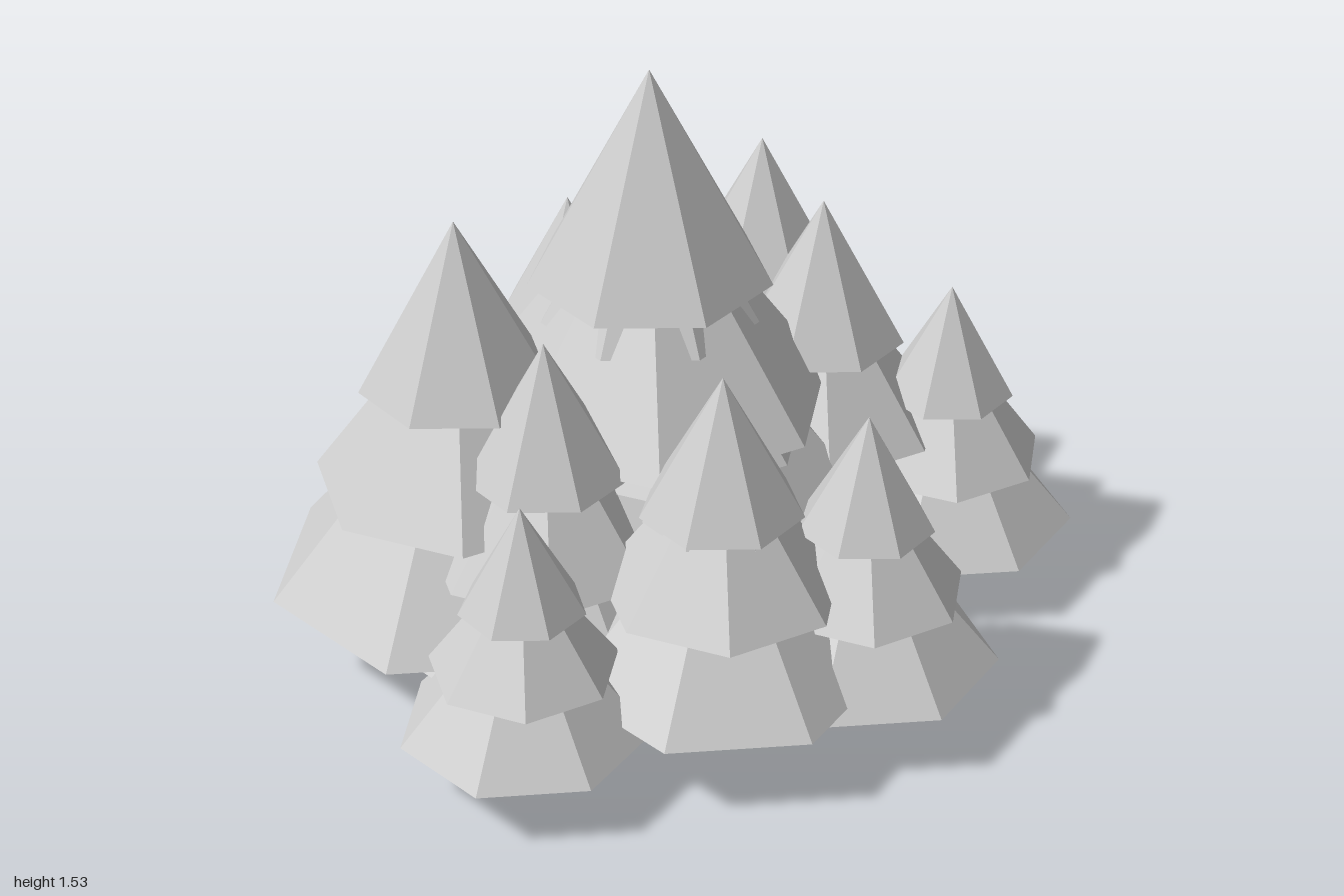
import * as THREE from 'three';

// Each tree: x, z, height. All trees share the same proportions.
const TREES = [
  [-0.015, -0.06, 1.535],
  [-0.015, -0.06, 1.37],
  [-0.475, -0.25, 1.23],
  [0.475, -0.155, 1.15],
  [0.442, 0.09, 1.075],
  [-0.447, 0.025, 1.0],
  [-0.258, 0.43, 1.0],
  [-0.235, 0.4, 0.94],
  [0.385, -0.283, 1.0],
  [0.203, -0.59, 0.92],
  [0.14, -0.52, 0.84],
  [0.047, 0.613, 0.843],
  [0.66, 0.336, 0.843],
  [-0.724, 0.24, 0.768],
  [-0.355, -0.34, 0.75],
];

// Tiers of a tree one unit tall: base height, radius and cone height
const TIERS = [
  [0.208, 0.4, 0.48],
  [0.426, 0.3, 0.415],
  [0.646, 0.2, 0.354],
];

export function createModel() {
  const grey = new THREE.MeshStandardMaterial({ color: 0xcccccc, flatShading: true });
  grey.name = 'pale grey';

  // Seven-sided cones, each tier turned a little further than the one below
  const tierGeometries = TIERS.map(([base, radius, h], i) =>
    new THREE.ConeGeometry(radius, h, 7)
      .rotateY(Math.PI / 2 + i * 0.4)
      .translate(0, base + h / 2, 0));
  const trunkGeometry = new THREE.CylinderGeometry(0.019, 0.023, 0.24, 6)
    .rotateY(Math.PI / 2)
    .translate(0, 0.12, 0);

  const grove = new THREE.Group();
  grove.name = 'pineGrove';
  for (const [x, z, height] of TREES) {
    const tree = new THREE.Group();
    tree.name = 'pineTree';
    const trunk = new THREE.Mesh(trunkGeometry, grey);
    trunk.name = 'trunk';
    tree.add(trunk);
    tierGeometries.forEach((geometry, i) => {
      const tier = new THREE.Mesh(geometry, grey);
      tier.name = ['lowerBranches', 'middleBranches', 'upperBranches'][i];
      tree.add(tier);
    });
    tree.position.set(x, 0, z);
    tree.scale.setScalar(height);
    grove.add(tree);
  }
  return grove;
}
